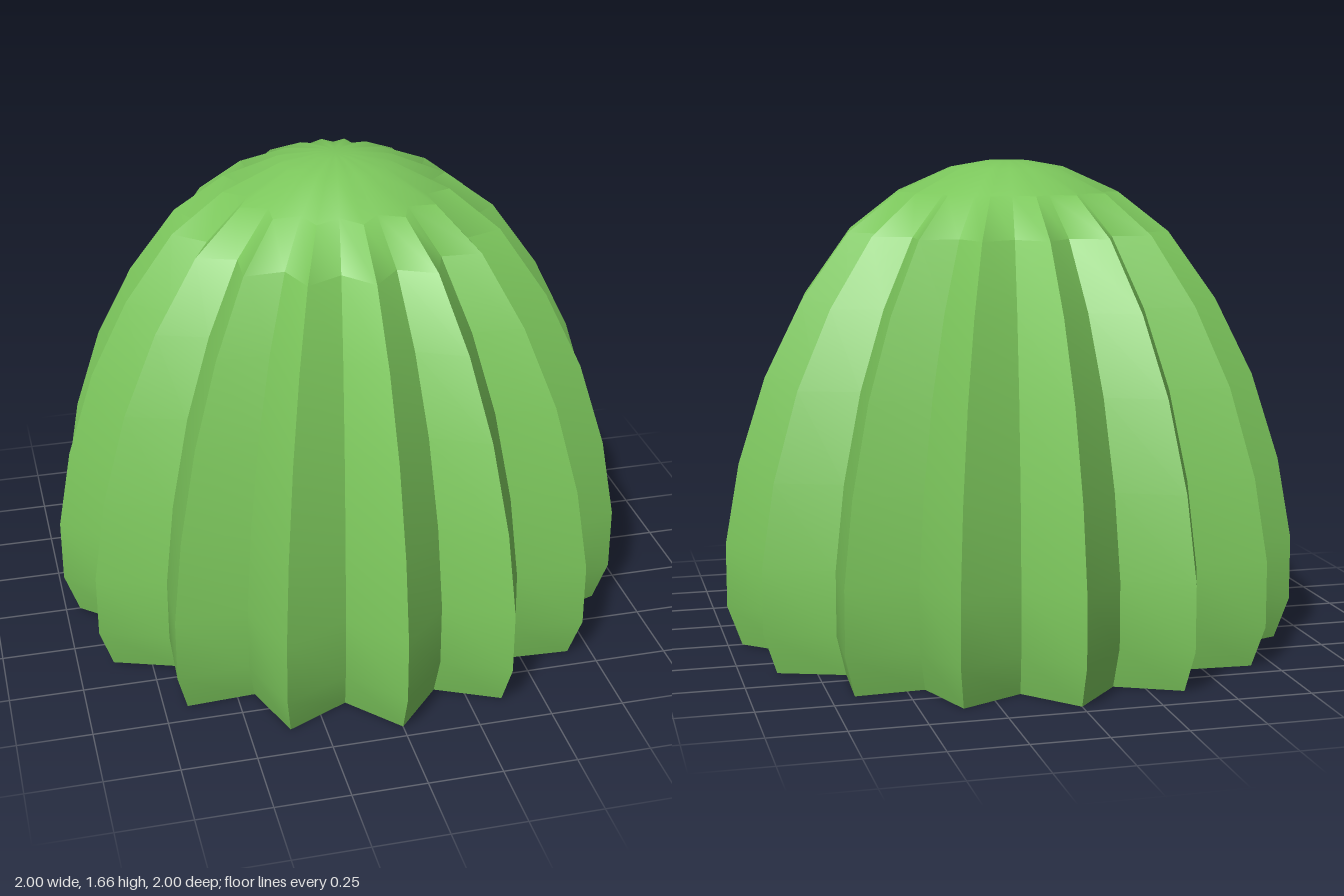
import * as THREE from 'three';
import { toCreasedNormals } from 'three/addons/utils/BufferGeometryUtils.js';

const RIBS = 16;
const VALLEY = 0.835; // groove radius relative to rib radius

// Dome profile along a rib: [radius, height], from base centre to crown
const PROFILE = [
  [0, 0], [0.95, 0], [1, 0.14], [1, 0.36], [0.95, 0.64], [0.855, 0.935],
  [0.725, 1.195], [0.56, 1.425], [0.385, 1.56], [0.2, 1.642], [0.07, 1.665], [0, 1.665],
];

function ribbedDome() {
  const points = PROFILE.map(([r, y]) => new THREE.Vector2(r, y));
  const geometry = new THREE.LatheGeometry(points, RIBS * 2);
  const position = geometry.attributes.position;
  // Pull every second meridian inwards to form the grooves
  for (let i = 0; i < position.count; i++) {
    const meridian = Math.floor(i / PROFILE.length);
    const scale = meridian % 2 ? VALLEY : 1;
    position.setX(i, position.getX(i) * scale);
    position.setZ(i, position.getZ(i) * scale);
  }
  geometry.deleteAttribute('normal');
  geometry.deleteAttribute('uv');
  return toCreasedNormals(geometry, THREE.MathUtils.degToRad(60));
}

export function createModel() {
  const group = new THREE.Group();
  group.name = 'cactus';
  const green = new THREE.MeshStandardMaterial({ color: 0x7cc75c });
  const body = new THREE.Mesh(ribbedDome(), green);
  body.name = 'ribbedBody';
  group.add(body);
  return group;
}
